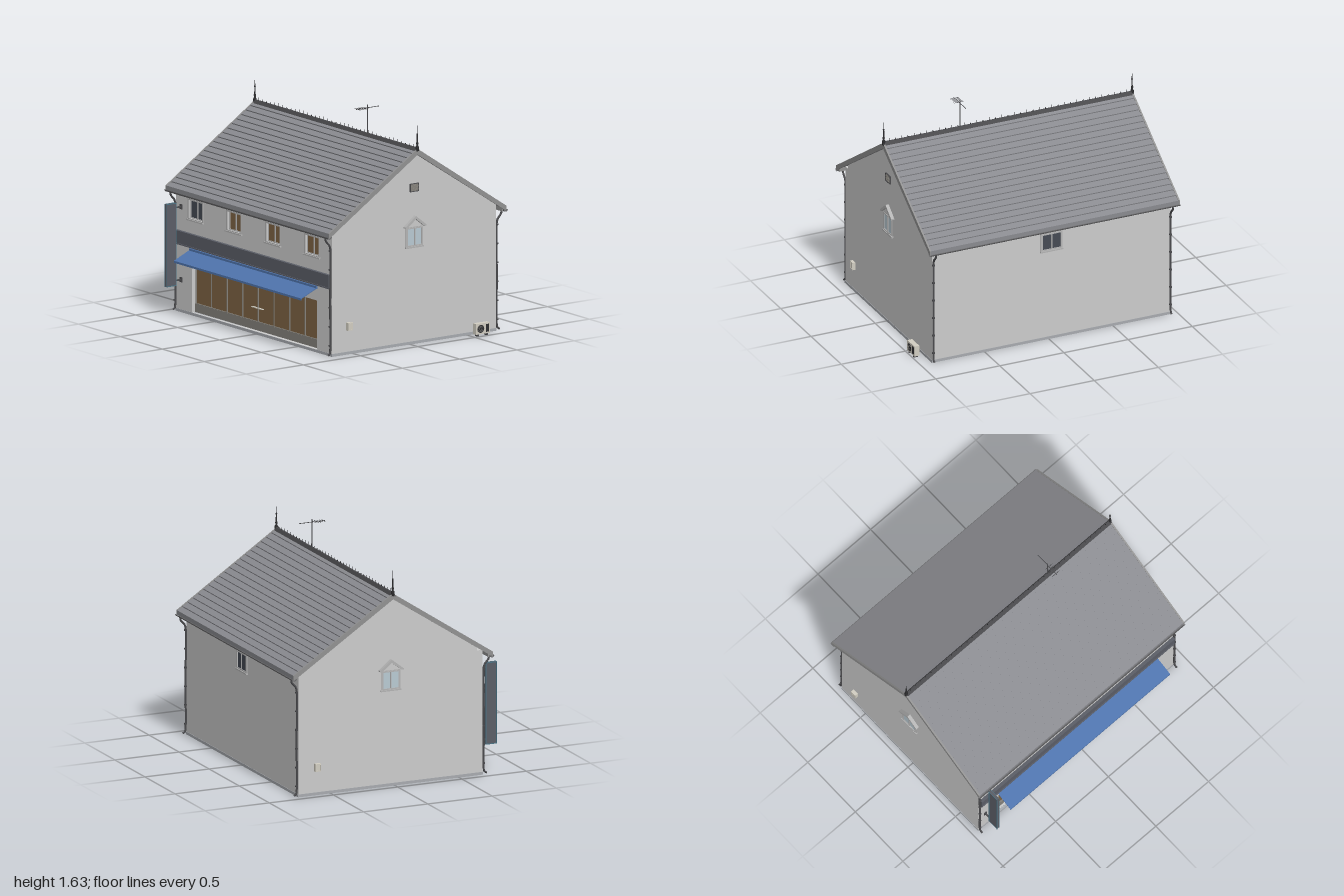
import * as THREE from 'three';

const RIDGE_Z = -0.033, XL = -0.95, XR = 0.91, FRONT = 0.684, HALF = FRONT - RIDGE_Z;
const MID = (XL + XR) / 2, ROOF_L = -0.995, ROOF_R = 0.955, ROOF_W = ROOF_R - ROOF_L, SLOPE = 0.661;

const mat = (color = 0xcccccc, extra = {}) => new THREE.MeshStandardMaterial({ color, ...extra });
const M = {
  wall: mat(), trim: mat(0xb4b4b4), plinth: mat(0xa8abb0), tile: mat(0x8a8b90), verge: mat(0x929292), metal: mat(0x4c4c4f),
  iron: mat(0x2e2e30), wood: mat(0x7d6343), darkGlass: mat(0x454a54), paleGlass: mat(0xb9cad3),
  sign: mat(0x5b5e67), signEdge: mat(0x4a7486), riser: mat(0x85827c), awning: mat(0x4f74ad),
  cream: mat(0xd2cec2), gutter: mat(0x6c6c6e, { side: THREE.DoubleSide }),
};

function add(parent, name, geo, material, x = 0, y = 0, z = 0) {
  const m = new THREE.Mesh(geo, material);
  m.name = name;
  m.position.set(x, y, z);
  parent.add(m);
  return m;
}
// Box given by its limits
const box = (p, name, material, x0, x1, y0, y1, z0, z1) =>
  add(p, name, new THREE.BoxGeometry(x1 - x0, y1 - y0, z1 - z0), material, (x0 + x1) / 2, (y0 + y1) / 2, (z0 + z1) / 2);

function group(parent, name, x = 0, y = 0, z = 0, ry = 0) {
  const g = new THREE.Group();
  g.name = name;
  g.position.set(x, y, z);
  g.rotation.y = ry;
  parent.add(g);
  return g;
}
const rect = (C, x0, x1, y0, y1) =>
  new C([[x0, y0], [x1, y0], [x1, y1], [x0, y1]].map(p => new THREE.Vector2(...p)));
const extrude = (shape, depth) => new THREE.ExtrudeGeometry(shape, { depth, bevelEnabled: false });
const polygon = pts => new THREE.Shape(pts.map(p => new THREE.Vector2(...p)));

// Rectangular ring lying in the xy plane
function frame(p, name, material, x0, x1, y0, y1, t, z0, depth) {
  const s = rect(THREE.Shape, x0, x1, y0, y1);
  s.holes.push(rect(THREE.Path, x0 + t, x1 - t, y0 + t, y1 - t));
  return add(p, name, extrude(s, depth), material, 0, 0, z0);
}

// Two-light casement; "inset" is the depth of the glass behind the wall face
function casement(p, w, y0, y1, glass, inset) {
  const h = w / 2;
  frame(p, 'windowSurround', M.trim, -h, h, y0, y1, 0.012, -0.002, 0.008);
  box(p, 'windowGlass', glass, -h + 0.008, h - 0.008, y0 + 0.008, y1 - 0.008, -inset - 0.004, -inset);
  frame(p, 'windowSash', M.trim, -h + 0.008, h - 0.008, y0 + 0.008, y1 - 0.008, 0.008, -inset, 0.006);
  box(p, 'windowMullion', M.trim, -0.004, 0.004, y0 + 0.01, y1 - 0.01, -inset, -inset + 0.006);
  box(p, 'windowSill', M.trim, -h - 0.004, h + 0.004, y0 - 0.004, y0 + 0.006, -0.002, 0.014);
}

function buildWalls(g) {
  const back = -HALF, inner = 0.64 - RIDGE_Z, top = d => 1.385 - SLOPE * Math.abs(d);
  // shape x becomes -z after turning, so the front lies at negative x
  const prism = polygon([[-inner, 0], [-back, 0], [-back, top(back)], [0, top(0)], [-inner, top(inner)]]);
  add(g, 'walls', extrude(prism, XR - XL).rotateY(Math.PI / 2), M.wall, XL, 0, RIDGE_Z);
  const face = rect(THREE.Shape, XL, XR, 0, top(HALF));
  face.holes.push(rect(THREE.Path, -0.76, 0.73, 0.02, 0.375));
  for (const x of WINDOWS) face.holes.push(rect(THREE.Path, x - 0.082, x + 0.082, 0.695, 0.83));
  add(g, 'frontWall', extrude(face, FRONT - 0.64), M.wall, 0, 0, 0.64);
  box(g, 'plinth', M.plinth, XL - 0.003, XR + 0.003, 0, 0.02, RIDGE_Z - HALF - 0.003, FRONT + 0.003);
}
const WINDOWS = [-0.713, -0.253, 0.211, 0.676];

function buildRoof(g) {
  // Stepped tile courses on both slopes
  const n = 19, half = 0.775, apex = 1.408, outer = [[0, apex]];
  for (let i = 1; i <= n; i++) {
    const d = half * i / n, y = apex - SLOPE * d;
    outer.push([d, y + 0.008]);
    if (i < n) outer.push([d - 0.002, y]);
  }
  const under = [[half, apex - SLOPE * half - 0.022], [0, apex - 0.03], [-half, apex - SLOPE * half - 0.022]];
  const mirrored = outer.slice(1).reverse().map(([d, y]) => [-d, y]);
  add(g, 'roofTiles', extrude(polygon([...outer, ...under, ...mirrored]), ROOF_W - 0.016).rotateY(Math.PI / 2),
    M.tile, ROOF_L + 0.008, 0, RIDGE_Z);
  // Verge boards closing both gable ends
  const e = SLOPE * half, chevron = polygon([[0, apex + 0.008], [half, apex - e + 0.008], [half, apex - e - 0.03],
    [0, apex - 0.034], [-half, apex - e - 0.03], [-half, apex - e + 0.008]].reverse());
  for (const x of [ROOF_L, ROOF_R - 0.012])
    add(g, 'vergeBoard', extrude(chevron, 0.012).rotateY(Math.PI / 2), M.verge, x, 0, RIDGE_Z);
  // Ridge capping, cresting and finials
  const cap = polygon([[-0.02, 1.395], [0.02, 1.395], [0.006, 1.424], [-0.006, 1.424]]);
  add(g, 'ridgeCap', extrude(cap, ROOF_W).rotateY(Math.PI / 2), M.metal, ROOF_L, 0, RIDGE_Z);
  for (let i = 1; i < 40; i++)
    add(g, 'crestSpike', new THREE.ConeGeometry(0.004, 0.028, 4), M.iron, ROOF_L + ROOF_W * i / 40, 1.434, RIDGE_Z);
  const profile = [[0, 0], [0.012, 0], [0.012, 0.03], [0.006, 0.04], [0.009, 0.055], [0.005, 0.065], [0.004, 0.11],
    [0.007, 0.118], [0.003, 0.126], [0, 0.185]].map(p => new THREE.Vector2(...p));
  for (const x of [ROOF_L + 0.008, ROOF_R - 0.006])
    add(g, 'finial', new THREE.LatheGeometry(profile, 10), M.iron, x, 1.4, RIDGE_Z);
}

// Gutter and two downpipes for one eave, built facing +z from the ridge line
function buildDrainage(g, side) {
  const e = group(g, side > 0 ? 'frontDrainage' : 'backDrainage', MID, 0, RIDGE_Z, side > 0 ? 0 : Math.PI);
  const trough = new THREE.CylinderGeometry(0.017, 0.017, ROOF_W, 10, 1, true, 0, Math.PI).rotateZ(-Math.PI / 2);
  // Turn the open side of the half round upwards
  trough.computeBoundingBox();
  const b = trough.boundingBox;
  const turn = b.max.y < 0.005 ? 0 : b.min.y > -0.005 ? Math.PI : b.max.z > 0.005 && b.min.z > -0.005 ? Math.PI / 2 : -Math.PI / 2;
  add(e, 'gutter', trough.rotateX(turn), M.gutter, 0, 0.877, 0.77);
  box(e, 'fasciaBoard', M.verge, -ROOF_W / 2 + 0.01, ROOF_W / 2 - 0.01, 0.865, 0.9, 0.742, 0.754);
  for (const x of [XL + 0.006 - MID, XR - 0.006 - MID]) {
    const pts = [[0.77, 0.862], [0.766, 0.84], [0.735, 0.805], [0.728, 0.785], [0.728, 0.4], [0.728, 0.04], [0.732, 0.022], [0.75, 0.01]];
    const path = new THREE.CatmullRomCurve3(pts.map(([z, y]) => new THREE.Vector3(x, y, z)), false, 'centripetal');
    add(e, 'downpipe', new THREE.TubeGeometry(path, 40, 0.0075, 8), M.metal);
    for (let i = 0; i < 6; i++)
      add(e, 'pipeCollar', new THREE.CylinderGeometry(0.0105, 0.0105, 0.01, 8), M.metal, x, 0.08 + i * 0.137, 0.728);
  }
}

function buildShop(g) {
  const s = group(g, 'shopfront');
  const x0 = -0.76, x1 = 0.73, step = (x1 - x0) / 8;
  box(s, 'shopGlass', M.wood, x0, x1, 0.08, 0.375, 0.64, 0.645);
  box(s, 'stallRiser', M.riser, x0, x1, 0.02, 0.08, 0.64, 0.655);
  frame(s, 'shopFrame', M.riser, x0, x1, 0.078, 0.375, 0.006, 0.64, 0.014);
  for (let i = 1; i < 8; i++) box(s, 'shopMullion', M.riser, x0 + i * step - 0.003, x0 + i * step + 0.003, 0.08, 0.375, 0.644, 0.653);
  for (const d of [-1, 1]) box(s, 'doorHandle', M.cream, -0.02 + d * 0.036 - 0.03, -0.02 + d * 0.036 + 0.03, 0.178, 0.184, 0.645, 0.66);
  // Fascia with a raised border
  box(s, 'fasciaPanel', M.sign, -0.93, 0.895, 0.495, 0.585, 0.68, 0.702);
  frame(s, 'fasciaBorder', M.sign, -0.934, 0.899, 0.49, 0.59, 0.008, 0.684, 0.024);
  // Sloping awning with a short valance and a cassette on the wall
  const canopy = polygon([[-0.684, 0.474], [-0.83, 0.41], [-0.83, 0.395], [-0.826, 0.395], [-0.826, 0.406], [-0.684, 0.467]]);
  add(s, 'awning', extrude(canopy, 1.515).rotateY(Math.PI / 2), M.awning, -0.775, 0, 0);
  box(s, 'awningCassette', M.awning, -0.775, 0.74, 0.462, 0.482, 0.682, 0.7);
  for (const x of [-0.74, 0.705]) {
    const arm = box(s, 'awningArm', M.metal, x - 0.004, x + 0.004, 0.429, 0.435, 0.685, 0.825);
    arm.rotation.x = 0.41;
  }
}

function buildBladeSign(g) {
  const s = group(g, 'projectingSign', -0.885, 0, 0);
  box(s, 'signPanel', M.sign, -0.009, 0.009, 0.2, 0.796, 0.735, 0.82);
  for (const x of [-0.011, 0.009]) {
    const f = frame(s, 'signBorder', M.signEdge, -0.822, -0.733, 0.198, 0.798, 0.006, 0, 0.002);
    f.rotation.y = Math.PI / 2;
    f.position.x = x;
  }
  for (const y of [0.235, 0.762]) {
    box(s, 'signArm', M.metal, -0.005, 0.005, y - 0.005, y + 0.005, 0.68, 0.737);
    box(s, 'signBracket', M.metal, -0.012, 0.012, y - 0.018, y + 0.018, 0.682, 0.69);
  }
}

// Gable fittings, built facing +z and then turned outwards
function buildGable(g, side) {
  const s = group(g, side > 0 ? 'rightGable' : 'leftGable', side > 0 ? XR : XL, 0, RIDGE_Z, side * Math.PI / 2);
  casement(s, 0.15, 0.7, 0.85, M.paleGlass, -0.004);
  const hood = polygon([[-0.092, 0.846], [-0.075, 0.846], [0, 0.905], [0.075, 0.846], [0.092, 0.846], [0.092, 0.855], [0, 0.927], [-0.092, 0.855]]);
  add(s, 'windowHood', extrude(hood, 0.025), M.trim);
  add(s, 'windowPediment', extrude(polygon([[-0.075, 0.848], [0.075, 0.848], [0, 0.907]]), 0.008), M.wall);
  box(s, 'meterBox', M.cream, -0.595, -0.55, 0.175, 0.232, -0.002, 0.022);
  frame(s, 'meterDoor', M.cream, -0.591, -0.554, 0.179, 0.228, 0.004, 0.022, 0.002);
  if (side > 0) {
    frame(s, 'ventFrame', M.metal, -0.038, 0.038, 1.1, 1.16, 0.004, 0, 0.01);
    box(s, 'ventPanel', M.riser, -0.036, 0.036, 1.102, 1.158, 0, 0.003);
    for (let i = 0; i < 5; i++) box(s, 'ventSlat', M.riser, -0.035, 0.035, 1.107 + i * 0.01, 1.112 + i * 0.01, 0, 0.008);
  }
}

function buildAirUnit(g) {
  const a = group(g, 'airConditioner', 0.955, 0, -0.575, Math.PI / 2);
  box(a, 'unitCase', M.cream, -0.06, 0.06, 0.015, 0.092, 0, 0.038);
  for (const x of [-0.045, 0.035]) box(a, 'unitFoot', M.metal, x, x + 0.01, 0, 0.016, 0.002, 0.036);
  add(a, 'fanOpening', new THREE.CylinderGeometry(0.029, 0.029, 0.002, 24).rotateX(Math.PI / 2), M.iron, -0.02, 0.053, 0.0385);
  for (const r of [0.01, 0.02, 0.029])
    add(a, 'fanGuard', new THREE.TorusGeometry(r, 0.0014, 4, 24), M.riser, -0.02, 0.053, 0.0395);
  box(a, 'unitGrille', M.iron, 0.025, 0.053, 0.026, 0.082, 0.037, 0.0395);
}

function buildAerial(g) {
  const a = group(g, 'aerial', 0.355, 0, RIDGE_Z);
  const rod = (name, r, len) => new THREE.CylinderGeometry(r, r, len, 6);
  add(a, 'aerialMast', rod('mast', 0.0035, 0.226), M.metal, 0, 1.513, 0);
  add(a, 'aerialBoom', rod('boom', 0.0025, 0.2).rotateX(Math.PI / 2), M.metal, 0, 1.605, 0);
  for (let i = 0; i < 5; i++)
    add(a, 'aerialElement', rod('element', 0.0018, 0.068).rotateZ(Math.PI / 2), M.metal, 0, 1.605, 0.016 + i * 0.018);
}

export function createModel() {
  const g = new THREE.Group();
  g.name = 'shopHouse';
  buildWalls(g);
  buildRoof(g);
  WINDOWS.forEach((x, i) => casement(group(g, 'frontWindow', x, 0, FRONT), 0.185, 0.685, 0.84, i ? M.wood : M.darkGlass, 0.02));
  casement(group(g, 'backWindow', MID, 0, RIDGE_Z - HALF, Math.PI), 0.17, 0.69, 0.835, M.darkGlass, -0.004);
  buildShop(g);
  buildBladeSign(g);
  for (const side of [1, -1]) {
    buildDrainage(g, side);
    buildGable(g, side);
  }
  buildAirUnit(g);
  buildAerial(g);
  return g;
}
